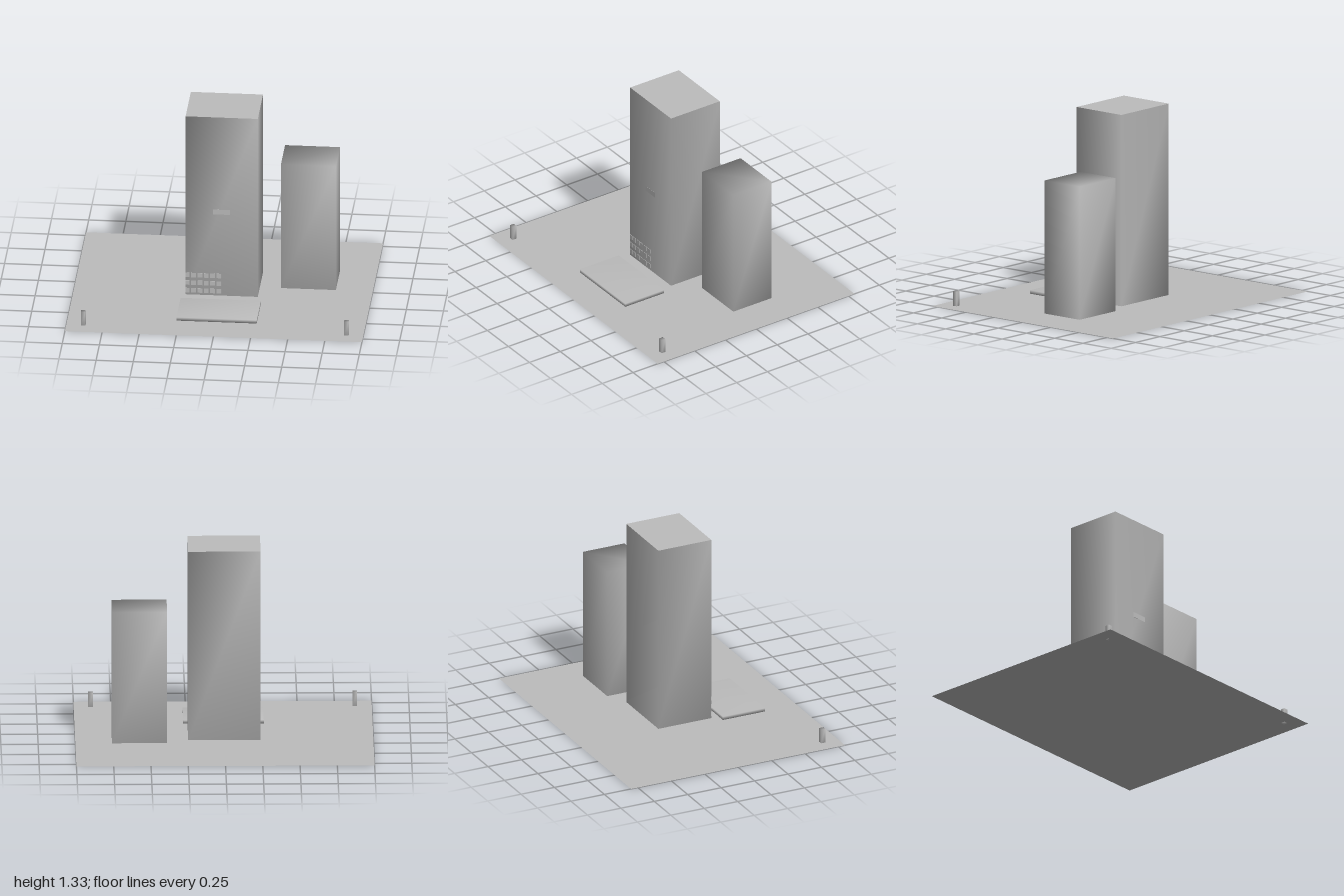
import * as THREE from 'three';
import { mergeVertices } from 'three/addons/utils/BufferGeometryUtils.js';

const concrete = new THREE.MeshStandardMaterial({ color: 0xbcbcbc, side: THREE.DoubleSide });
concrete.name = 'concrete grey';

// Box between two corners; soft boxes share their corner normals
function block(name, [x0, y0, z0], [x1, y1, z1], { soft = true, open = false } = {}) {
  let geo = new THREE.BoxGeometry(x1 - x0, y1 - y0, z1 - z0);
  if (open) {
    // leave out the top face
    const index = Array.from(geo.index.array);
    index.splice(12, 6);
    geo.setIndex(index);
  }
  geo.clearGroups();
  if (soft) {
    geo.deleteAttribute('normal');
    geo.deleteAttribute('uv');
    geo = mergeVertices(geo);
    geo.computeVertexNormals();
  }
  const mesh = new THREE.Mesh(geo, concrete);
  mesh.name = name;
  mesh.position.set((x0 + x1) / 2, (y0 + y1) / 2, (z0 + z1) / 2);
  return mesh;
}

// Flat horizontal sheet
function sheet(name, width, depth, x, y, z) {
  const mesh = new THREE.Mesh(new THREE.PlaneGeometry(width, depth).rotateX(-Math.PI / 2), concrete);
  mesh.name = name;
  mesh.position.set(x, y, z);
  return mesh;
}

export function createModel() {
  const model = new THREE.Group();
  model.name = 'towerPlaza';

  model.add(sheet('ground', 2, 1.6, 0, 0, 0));

  // Main tower with a flat roof
  const front = 0.174, back = -0.222, half = 0.243, top = 1.33;
  const tower = new THREE.Group();
  tower.name = 'mainTower';
  tower.add(block('towerWalls', [-half, 0.018, back], [half, top, front], { open: true }));
  tower.add(sheet('towerRoof', half * 2, front - back, 0, top, (front + back) / 2));
  tower.add(block('signPlate', [-0.06, 0.615, front - 0.003], [0.055, 0.65, front + 0.001], { soft: false }));

  // Small window panes low on the front wall
  const windows = new THREE.Group();
  windows.name = 'windows';
  for (let row = 0; row < 3; row++) {
    for (let col = 0; col < 6; col++) {
      const x = -0.019 - col * 0.0425, y = 0.05 + row * 0.056;
      windows.add(block('windowPane', [Math.max(x - 0.016, -half), y - 0.016, front - 0.002],
        [x + 0.016, y + 0.016, front + 0.003], { soft: false }));
    }
  }
  tower.add(windows);
  model.add(tower);

  model.add(block('sideTower', [0.385, 0.018, -0.294], [0.755, 0.93, 0.018]));
  model.add(block('entrancePlatform', [-0.27, 0, 0.248], [0.27, 0.024, 0.564]));

  // Posts at the front corners
  for (const side of [-1, 1]) {
    const x = side * 0.886;
    model.add(block(side < 0 ? 'rightPost' : 'leftPost', [x - 0.016, 0, 0.67], [x + 0.016, 0.1, 0.701]));
  }
  return model;
}
